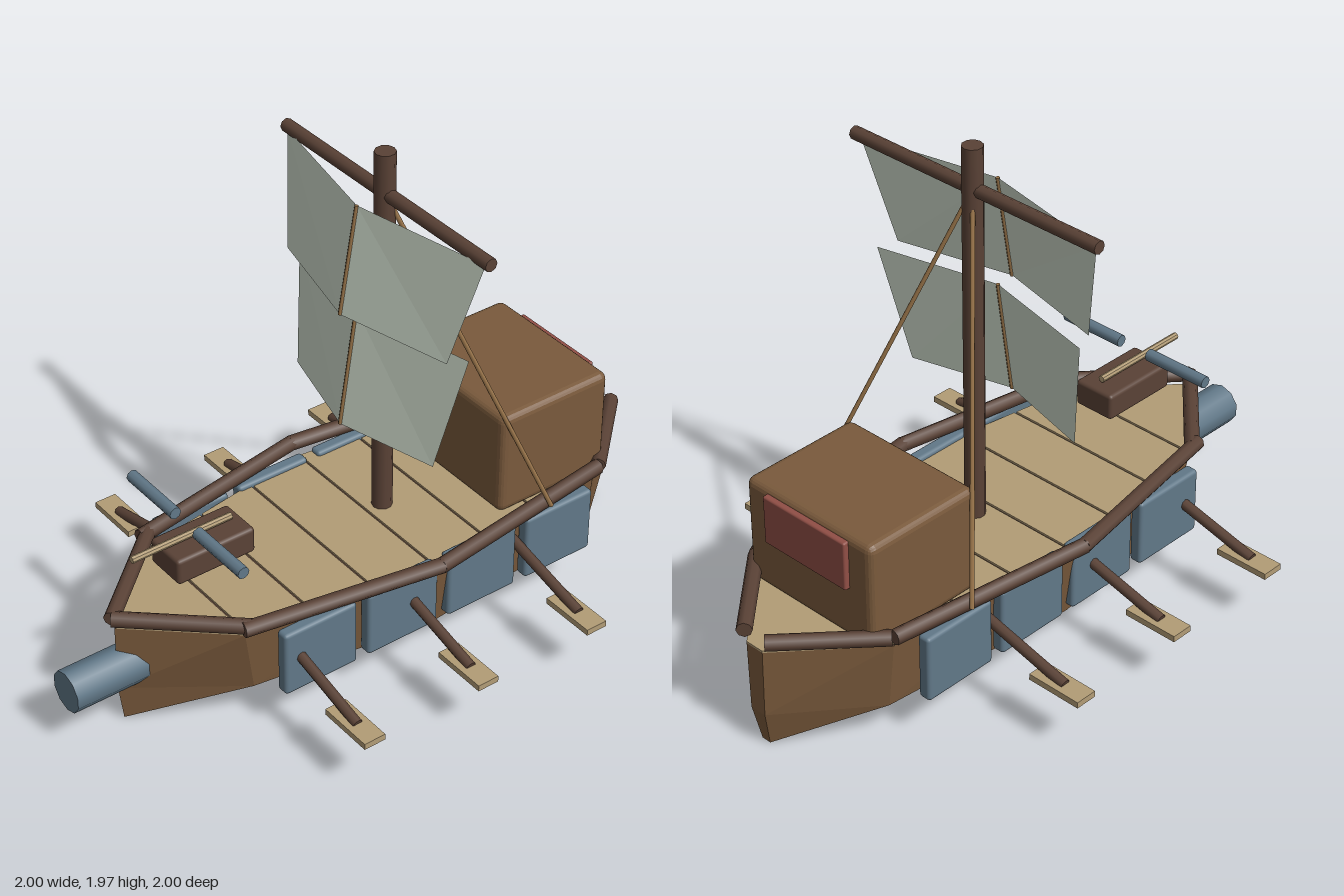
import * as THREE from 'three';
import { RoundedBoxGeometry } from 'three/addons/geometries/RoundedBoxGeometry.js';

const mat = (name, color, extra = {}) =>
  Object.assign(new THREE.MeshStandardMaterial({ color, ...extra }), { name });

export function createModel() {
  const M = {
    hull: mat('hull brown', 0x7a5a3c, { flatShading: true }),
    timber: mat('dark timber', 0x5a4236),
    plank: mat('pale planks', 0xb29c76, { flatShading: true }),
    steel: mat('blue steel', 0x617888),
    sail: mat('sail cloth', 0xccd7c8, { flatShading: true, side: THREE.DoubleSide }),
    red: mat('red panel', 0x914f46),
    rope: mat('rope', 0x967248),
  };
  const model = new THREE.Group();
  model.name = 'rowingShip';
  // Built with the bow along +z, then turned to lie on the diagonal
  const ship = new THREE.Group();
  ship.name = 'ship';
  ship.rotation.y = -Math.PI / 4;
  model.add(ship);

  const add = (name, geo, material, x = 0, y = 0, z = 0) => {
    const m = new THREE.Mesh(geo, material);
    m.name = name;
    m.position.set(x, y, z);
    ship.add(m);
    return m;
  };
  const rod = (name, a, b, r, material, sides = 8) => {
    const A = new THREE.Vector3(...a), B = new THREE.Vector3(...b);
    const d = B.clone().sub(A);
    const m = add(name, new THREE.CylinderGeometry(r, r, d.length(), sides), material);
    m.position.copy(A).add(B).multiplyScalar(0.5);
    m.quaternion.setFromUnitVectors(new THREE.Vector3(0, 1, 0), d.normalize());
    return m;
  };
  const box = (name, w, h, d, r, material, x, y, z) =>
    add(name, new RoundedBoxGeometry(w, h, d, 2, r), material, x, y, z);

  // Hull: rings given as [half width, z] from bow to stern, mirrored, over a narrow keel
  const ring = (half, y) => [
    ...half.map(([x, z]) => [x, y, z]),
    ...half.slice(1).reverse().map(([x, z]) => [-x, y, z]),
  ];
  const topHalf = [[0, 1.02], [0.31, 0.67], [0.43, -0.1], [0.34, -0.93], [0.04, -1.27]];
  const top = ring(topHalf, 0.43);
  const chine = ring([[0, 1.02], [0.285, 0.62], [0.39, -0.1], [0.31, -0.93], [0.035, -1.27]], 0.15);
  const base = ring([[0, 1.0], [0.035, 0.6], [0.06, -0.1], [0.045, -0.9], [0.02, -1.24]], 0);
  const meshOf = (tris) => {
    const g = new THREE.BufferGeometry();
    g.setAttribute('position', new THREE.Float32BufferAttribute(tris.flat(2), 3));
    g.computeVertexNormals();
    return g;
  };
  const band = (lo, hi) => lo.flatMap((a, i) => {
    const j = (i + 1) % lo.length;
    return [[a, lo[j], hi[j]], [a, hi[j], hi[i]]];
  });
  const cap = (loop, up) => loop.map((p, i) => {
    const q = loop[(i + 1) % loop.length], c = [0, p[1], 0];
    return up ? [c, p, q] : [c, q, p];
  });
  add('hull', meshOf([...band(chine, top), ...band(base, chine), ...cap(base, false)]), M.hull);
  add('deckBase', meshOf(cap(top, true)), M.timber);

  // Deck planks cut to the hull outline
  const halfWidth = (z) => {
    for (let i = 0; i < topHalf.length - 1; i++) {
      const [x0, z0] = topHalf[i], [x1, z1] = topHalf[i + 1];
      if (z <= z0 && z >= z1) return x0 + (x1 - x0) * (z0 - z) / (z0 - z1);
    }
    return 0.04;
  };
  const cuts = [1.02, 0.66, 0.405, 0.15, -0.105, -0.36, -0.615, -0.93, -1.275];
  for (let i = 0; i < cuts.length - 1; i++) {
    const a = cuts[i] - 0.005, b = cuts[i + 1] + 0.005;
    const zs = [a, ...topHalf.map((p) => p[1]).filter((z) => z < a && z > b), b];
    const right = zs.map((z) => new THREE.Vector2(halfWidth(z), -z));
    const left = [...zs].reverse().map((z) => new THREE.Vector2(-halfWidth(z), -z));
    const g = new THREE.ExtrudeGeometry(new THREE.Shape([...right, ...left]), { depth: 0.008, bevelEnabled: false });
    add('deckPlank', g.rotateX(-Math.PI / 2), M.plank, 0, 0.43, 0);
  }

  // Cabin with a red panel at the stern
  box('cabin', 0.63, 0.435, 0.51, 0.03, M.hull, 0, 0.648, -0.747);
  box('cabinPanel', 0.41, 0.2, 0.03, 0.008, M.red, 0, 0.745, -1.008);

  for (const s of [-1, 1]) {
    // Rails
    const y = 0.479;
    rod('bowRail', [0, y, 1.03], [s * 0.337, y, 0.65], 0.03, M.timber);
    rod('foreRail', [s * 0.33, y, 0.69], [s * 0.467, y, -0.1], 0.03, M.timber);
    rod('aftRail', [s * 0.467, y, -0.09], [s * 0.353, y, -0.94], 0.03, M.timber);
    rod('sternRail', [s * 0.348, y, -0.945], [s * 0.052, y, -1.268], 0.03, M.timber);

    // Shields along the sides
    for (const z of [0.42, 0.05, -0.32, -0.69]) {
      box('shield', 0.055, 0.275, 0.32, 0.015, M.steel, s * 0.402, 0.318, z);
    }

    // Oars
    for (const z of [0.51, 0, -0.51]) {
      rod('oarShaft', [s * 0.37, 0.345, z], [s * 0.76, 0.247, z], 0.021, M.timber);
      add('oarBlade', new THREE.BoxGeometry(0.23, 0.025, 0.09), M.plank, s * 0.745, 0.237, z);
    }

    // Stays from the mast to the rails
    rod('stay', [0, 1.8, -0.178], [s * 0.435, 0.48, -0.64], 0.009, M.rope, 6);

    // Bow arms of the deck weapon
    rod('weaponArm', [s * 0.07, 0.753, 0.697], [s * 0.35, 0.753, 0.697], 0.024, M.steel);
  }

  // Mast and yard
  rod('mast', [0, 0.43, -0.178], [0, 1.97, -0.178], 0.04, M.timber, 10);
  rod('yard', [-0.585, 1.803, -0.178], [0.585, 1.803, -0.178], 0.026, M.timber);

  // Sails: [top y, half width, edge z], [bottom y, half width, edge z], each folded along a centre ridge
  for (const [[y0, x0, z0], [y1, x1, z1]] of [
    [[1.795, 0.565, -0.17], [1.37, 0.467, -0.092]],
    [[1.365, 0.495, -0.168], [0.893, 0.407, -0.089]],
  ]) {
    const c0 = [0, y0, -0.055], c1 = [0, y1, 0.018];
    const l0 = [-x0, y0, z0], l1 = [-x1, y1, z1], r0 = [x0, y0, z0], r1 = [x1, y1, z1];
    add('sail', meshOf([[l0, l1, c1], [l0, c1, c0], [c0, c1, r1], [c0, r1, r0]]), M.sail);
    rod('sailSeam', c0, c1, 0.008, M.rope, 6);
  }

  // Ram at the bow
  rod('ram', [0, 0.245, 0.75], [0, 0.245, 1.235], 0.083, M.steel, 10);

  // Deck weapon: stock and bolt
  box('weaponStock', 0.178, 0.108, 0.335, 0.015, M.timber, 0, 0.625, 0.63);
  rod('weaponBolt', [0, 0.7, 0.507], [0, 0.7, 0.934], 0.014, M.plank);

  return model;
}
